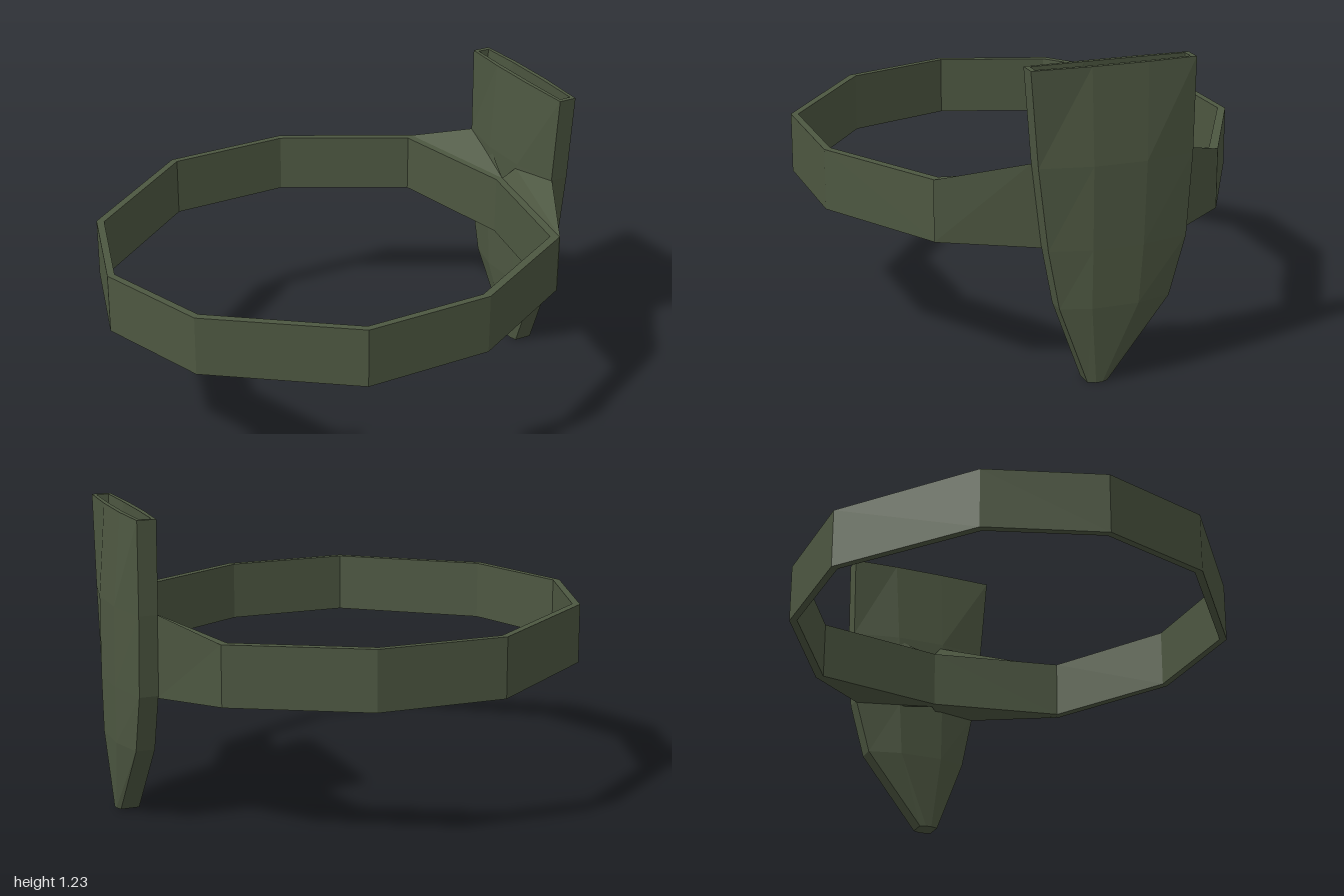
import * as THREE from 'three';

// Skin a series of equal rings (counter-clockwise from above) and cap both ends.
function loft(rings) {
  const n = rings[0].length, pos = [];
  const tri = (a, b, c) => pos.push(...a, ...b, ...c);
  for (let r = 0; r < rings.length - 1; r++) {
    for (let i = 0; i < n; i++) {
      const j = (i + 1) % n;
      const a = rings[r][i], b = rings[r][j], c = rings[r + 1][j], d = rings[r + 1][i];
      tri(a, b, c);
      tri(a, c, d);
    }
  }
  const first = rings[0], last = rings[rings.length - 1];
  for (let i = 1; i < n - 1; i++) {
    tri(first[0], first[i + 1], first[i]);
    tri(last[0], last[i], last[i + 1]);
  }
  const g = new THREE.BufferGeometry();
  g.setAttribute('position', new THREE.Float32BufferAttribute(pos, 3));
  g.computeVertexNormals();
  return g;
}

// Eight-sided sheath section: narrow edges at zf and zb, bulging faces between c1 and c2.
function section(y, zf, zb, c1, c2, bulge, edge = 0.0375) {
  const m = 0.92, inner = bulge - 0.004;
  return [
    [m + edge, zf], [m + bulge, c1], [m + bulge, c2], [m + edge, zb],
    [m - edge, zb], [m - inner, c2], [m - inner, c1], [m - edge, zf],
  ].map(([x, z]) => [x, y, z]);
}

export function createModel() {
  const group = new THREE.Group();
  const olive = new THREE.MeshStandardMaterial({ color: 0x4d5741 });
  olive.name = 'olive';
  const add = (name, geometry) => {
    const mesh = new THREE.Mesh(geometry, olive);
    mesh.name = name;
    group.add(mesh);
  };

  // Belt: ten-sided band, both outlines counter-clockwise
  const outline = (half) => {
    const mirrored = half.slice(1, -1).reverse().map(([x, z]) => [x, -z]);
    return [...half, ...mirrored].map(([x, z]) => new THREE.Vector2(x, -z));
  };
  const band = new THREE.Shape(outline(
    [[-1, 0], [-0.85, 0.46], [-0.33, 0.853], [0.2, 0.853], [0.71, 0.573], [0.82, 0]]));
  band.holes.push(new THREE.Path(outline(
    [[-0.97, 0], [-0.825, 0.44], [-0.32, 0.825], [0.185, 0.825], [0.68, 0.55], [0.785, 0]])));
  const belt = new THREE.ExtrudeGeometry(band, { depth: 0.242, bevelEnabled: false });
  belt.rotateX(-Math.PI / 2).translate(0, 0.538, 0);
  add('belt', belt);

  // Sheath: tapered outside, rim, then the hollow inside
  add('sheath', loft([
    section(0, 0.06, -0.02, 0.03, 0.005, 0.05),
    section(0.31, 0.175, -0.265, 0.06, -0.125, 0.076),
    section(0.54, 0.22, -0.33, 0.06, -0.14, 0.08),
    section(0.86, 0.26, -0.35, 0.06, -0.15, 0.078),
    section(1.225, 0.29, -0.355, 0.06, -0.16, 0.05),
    section(1.225, 0.27, -0.335, 0.06, -0.16, 0.032, 0.024),
    section(0.86, 0.24, -0.33, 0.06, -0.15, 0.06, 0.024),
    section(0.31, 0.155, -0.24, 0.06, -0.125, 0.058, 0.024),
    section(0.03, 0.05, -0.01, 0.04, 0, 0.035, 0.024),
  ]));

  // Wedge-shaped mounts joining belt and sheath: [x, bottom z, top z, bottom y, top y]
  const mounts = {
    backMount: [[0.815, 0, 0, 0.538, 0.78], [0.847, -0.13, -0.13, 0.53, 0.84],
      [0.885, -0.325, -0.35, 0.53, 0.86], [0.71, -0.57, -0.57, 0.538, 0.78]],
    frontMount: [[0.71, 0.577, 0.577, 0.538, 0.78], [0.885, 0.215, 0.26, 0.53, 0.86],
      [0.847, 0.03, 0.05, 0.53, 0.84], [0.815, 0, 0, 0.538, 0.78]],
  };
  for (const [name, corners] of Object.entries(mounts)) {
    add(name, loft([
      corners.map(([x, z, , y]) => [x, y, z]),
      corners.map(([x, , z, , y]) => [x, y, z]),
    ]));
  }
  return group;
}
